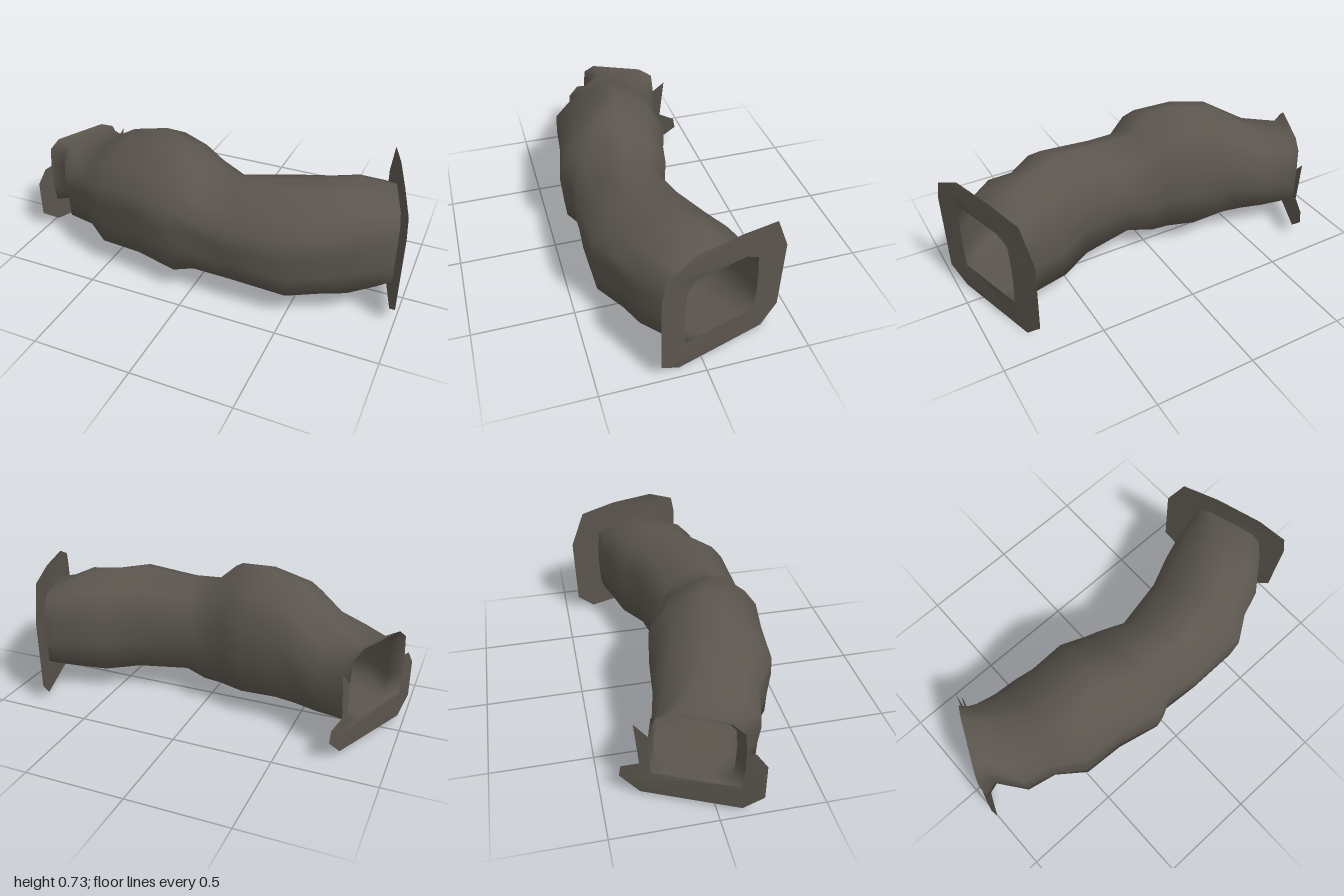
import * as THREE from 'three';

// Stations along the tunnel: front wall x, z, back wall x, z, roof y, floor y
const stations = [
  [-0.97, 0.11, -0.79, -0.28, 0.51, 0.15],
  [-0.90, 0.09, -0.75, -0.26, 0.505, 0.155],
  [-0.80, 0.23, -0.62, -0.23, 0.52, 0.15],
  [-0.65, 0.27, -0.50, -0.20, 0.60, 0.15],
  [-0.51, 0.37, -0.40, -0.175, 0.68, 0.145],
  [-0.30, 0.385, -0.22, -0.17, 0.725, 0.14],
  [-0.07, 0.435, -0.09, -0.12, 0.70, 0.13],
  [0.02, 0.39, 0.00, -0.115, 0.615, 0.14],
  [0.23, 0.41, 0.12, -0.065, 0.585, 0.15],
  [0.51, 0.405, 0.38, -0.115, 0.625, 0.135],
  [0.65, 0.31, 0.54, -0.195, 0.615, 0.125],
  [0.77, 0.265, 0.67, -0.235, 0.61, 0.135],
  [0.89, 0.165, 0.79, -0.275, 0.55, 0.15],
  [0.95, 0.10, 0.84, -0.28, 0.52, 0.155],
];

// Cross-sections: u runs back to front, v floor to roof
const cave = [[0.03, 0], [0.25, 0], [0.5, 0], [0.75, 0], [0.96, 0.01], [0.97, 0.2], [1, 0.45],
  [0.98, 0.62], [0.85, 0.78], [0.64, 0.95], [0.44, 1], [0.15, 0.85], [0, 0.6], [0.01, 0.3]];
const mouth = [[0.02, 0], [0.25, 0], [0.5, 0], [0.75, 0], [0.98, 0], [1, 0.3], [1, 0.6],
  [0.98, 0.88], [0.85, 1], [0.5, 1], [0.2, 1], [0.03, 0.9], [0, 0.6], [0, 0.3]];
const N = cave.length;

function sectionPoints(i) {
  const [fx, fz, bx, bz, top, bottom] = stations[i];
  const blend = Math.min(1, Math.min(i, stations.length - 1 - i) / 3);
  return cave.map(([cu, cv], j) => {
    // gentle rock lumps, fading out at the mouths
    const lump = 0.015 * blend * Math.sin(i * 2.3 + j * 1.9);
    const u0 = THREE.MathUtils.lerp(mouth[j][0], cu, blend);
    const v0 = THREE.MathUtils.lerp(mouth[j][1], cv, blend);
    const u = u0 + lump * (0.5 - u0);
    const v = v0 + (v0 > 0.1 ? lump * (0.5 - v0) : 0);
    return new THREE.Vector3(bx + (fx - bx) * u, bottom + (top - bottom) * v, bz + (fz - bz) * u);
  });
}

// Open tube skinned over all the sections
function tunnelGeometry() {
  const points = stations.flatMap((_, i) => sectionPoints(i));
  const index = [];
  for (let i = 0; i < stations.length - 1; i++) {
    for (let j = 0; j < N; j++) {
      const a = i * N + j, b = i * N + (j + 1) % N;
      index.push(a, a + N, b, b, a + N, b + N);
    }
  }
  const geometry = new THREE.BufferGeometry().setFromPoints(points);
  geometry.setIndex(index);
  geometry.computeVertexNormals();
  return geometry;
}

// Flat collar drawn in (z, y), then bent so x follows the mouth
function collarGeometry(shape, bend) {
  const geometry = new THREE.ShapeGeometry(shape);
  const p = geometry.attributes.position;
  for (let i = 0; i < p.count; i++) {
    const z = p.getX(i);
    let k = 0;
    while (k < bend.length - 2 && z > bend[k + 1][0]) k++;
    const [z0, x0] = bend[k], [z1, x1] = bend[k + 1];
    p.setXYZ(i, x0 + (x1 - x0) * (z - z0) / (z1 - z0), p.getY(i), z);
  }
  geometry.computeVertexNormals();
  return geometry;
}

const toShape = (pts) => new THREE.Shape(pts.map(([z, y]) => new THREE.Vector2(z, y)));

export function createModel() {
  const group = new THREE.Group();
  const rock = new THREE.MeshStandardMaterial({ color: 0x5a554d, side: THREE.DoubleSide });
  rock.name = 'dark rock';
  const add = (name, geometry) => {
    const mesh = new THREE.Mesh(geometry, rock);
    mesh.name = name;
    group.add(mesh);
  };

  add('tunnel', tunnelGeometry());

  // Full collar around the +x mouth
  const full = toShape([[0.2, 0.6], [0.06, 0.665], [-0.17, 0.665], [-0.36, 0.64], [-0.435, 0.46],
    [-0.425, 0.09], [-0.335, 0.0], [0.12, 0.01], [0.215, 0.09], [0.22, 0.5]]);
  const rim = sectionPoints(stations.length - 1).map((p) => new THREE.Vector2(p.z, p.y));
  full.holes.push(new THREE.Path(rim));
  add('leftCollar', collarGeometry(full, [[-0.44, 0.78], [-0.28, 0.84], [0.10, 0.95], [0.22, 1.0]]));

  // Collar under the -x mouth, with a jagged wing on each side
  const rim2 = sectionPoints(0).map((p) => [p.z, p.y]);
  const inner = [rim2[12], rim2[13], ...rim2.slice(0, 7)];
  const open = toShape([...inner, [0.15, 0.36], [0.2, 0.29], [0.2, 0.1], [0.11, 0.02], [-0.32, 0.02],
    [-0.41, 0.11], [-0.4, 0.17], [-0.32, 0.2], [-0.34, 0.43]]);
  add('rightCollar', collarGeometry(open, [[-0.42, -0.74], [-0.28, -0.79], [0.11, -0.97], [0.2, -1.0]]));

  return group;
}
